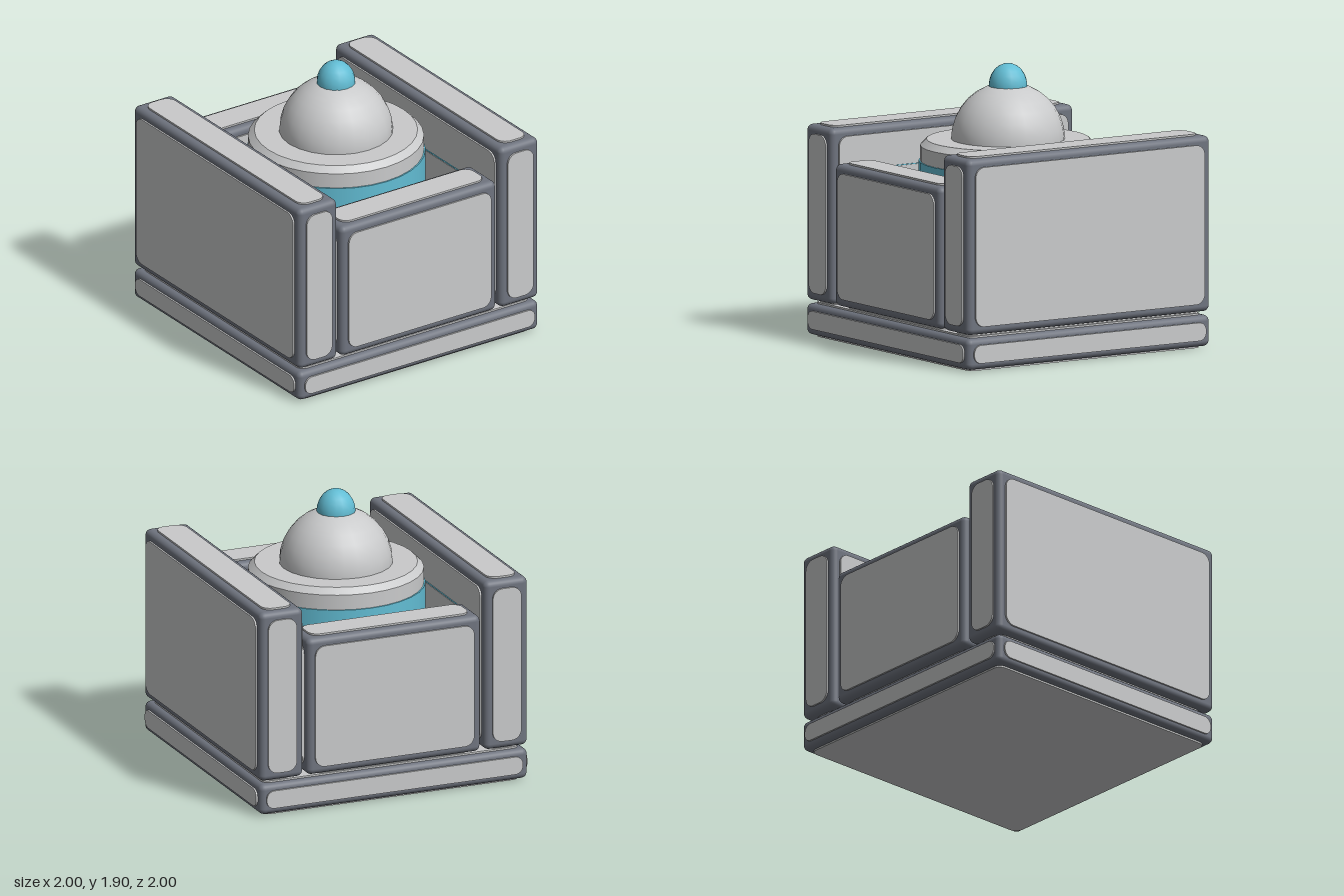
import * as THREE from 'three';
import { RoundedBoxGeometry } from 'three/addons/geometries/RoundedBoxGeometry.js';

const frameGrey = new THREE.MeshStandardMaterial({ color: 0x6f747f });
frameGrey.name = 'frame grey';
const panelGrey = new THREE.MeshStandardMaterial({ color: 0xc9cacb });
panelGrey.name = 'panel light grey';
const teal = new THREE.MeshStandardMaterial({ color: 0x62bdd4 });
teal.name = 'teal';

function add(parent, name, geometry, material, x = 0, y = 0, z = 0) {
  const mesh = new THREE.Mesh(geometry, material);
  mesh.name = name;
  mesh.position.set(x, y, z);
  parent.add(mesh);
  return mesh;
}

// Flat plate with rounded corners, facing +z, back at z = 0
function plateGeometry(w, h, radius, depth) {
  const a = w / 2, b = h / 2, r = Math.min(radius, a, b);
  const s = new THREE.Shape();
  s.absarc(a - r, b - r, r, 0, Math.PI / 2);
  s.absarc(-a + r, b - r, r, Math.PI / 2, Math.PI);
  s.absarc(-a + r, -b + r, r, Math.PI, Math.PI * 1.5);
  s.absarc(a - r, -b + r, r, Math.PI * 1.5, Math.PI * 2);
  return new THREE.ExtrudeGeometry(s, { depth, bevelEnabled: false, curveSegments: 5 });
}

// Rounded frame block with a raised plate on each of its six faces
function block(name, size, centre, inset, radius) {
  const group = new THREE.Group();
  group.name = name;
  group.position.set(...centre);
  const [w, h, d] = size;
  add(group, 'frame', new RoundedBoxGeometry(w, h, d, 3, 0.04), frameGrey);
  const raise = 0.012, sunk = 0.01;
  const faces = [
    ['frontPanel', w, h, d, 0, 0], ['backPanel', w, h, d, 0, Math.PI],
    ['leftPanel', d, h, w, 0, Math.PI / 2], ['rightPanel', d, h, w, 0, -Math.PI / 2],
    ['topPanel', w, d, h, -Math.PI / 2, 0], ['bottomPanel', w, d, h, Math.PI / 2, 0],
  ];
  for (const [label, pw, ph, depth, rx, ry] of faces) {
    const g = plateGeometry(pw - inset * 2, ph - inset * 2, radius, raise + sunk);
    g.translate(0, 0, depth / 2 - sunk);
    add(group, label, g, panelGrey).rotation.set(rx, ry, 0);
  }
  return group;
}

export function createModel() {
  const model = new THREE.Group();
  model.name = 'domedHousing';

  // Base slab and the four surrounding walls
  model.add(block('base', [1.974, 0.213, 1.974], [0, 0.1185, 0], 0.044, 0.055));
  for (const s of [-1, 1]) {
    model.add(block(s > 0 ? 'leftWall' : 'rightWall', [0.32, 1.2, 1.974], [s * 0.827, 0.85, 0], 0.055, 0.07));
    model.add(block(s > 0 ? 'frontWall' : 'backWall', [1.28, 0.97, 0.32], [0, 0.735, s * 0.827], 0.055, 0.07));
  }

  // Floor sheet and inner lining
  add(model, 'floorSheet', new THREE.BoxGeometry(1.5, 0.007, 1.5), teal, 0, 0.2385, 0);
  add(model, 'floorPlate', new THREE.BoxGeometry(1.3, 0.008, 1.3), panelGrey, 0, 0.245, 0);
  for (const [x, s] of [[-0.653, 1], [0.587, -1]]) {
    add(model, 'lining', new THREE.BoxGeometry(0.009, 0.92, 1.31), teal, x, 0.705, 0);
    add(model, 'liningFace', new THREE.BoxGeometry(0.004, 0.91, 1.31), panelGrey, x + s * 0.0065, 0.705, 0);
  }

  // Central drum with its chamfered collar
  add(model, 'drum', new THREE.CylinderGeometry(0.605, 0.605, 1.0, 32), teal, 0, 0.742, 0);
  add(model, 'collar', new THREE.CylinderGeometry(0.595, 0.595, 0.106, 32), panelGrey, 0, 1.294, 0);
  add(model, 'collarChamfer', new THREE.CylinderGeometry(0.552, 0.595, 0.042, 32), panelGrey, 0, 1.368, 0);

  // Dome and the lamp on its top
  add(model, 'dome', new THREE.SphereGeometry(0.386, 24, 8, 0, Math.PI * 2, 0, Math.PI / 2), panelGrey, 0, 1.387, 0);
  const lamp = add(model, 'lamp', new THREE.SphereGeometry(0.132, 16, 6, 0, Math.PI * 2, 0, Math.PI / 2), teal, 0, 1.75, 0);
  lamp.scale.y = 1.17;
  add(model, 'lampBase', new THREE.CylinderGeometry(0.132, 0.132, 0.012, 16), teal, 0, 1.746, 0);
  return model;
}
